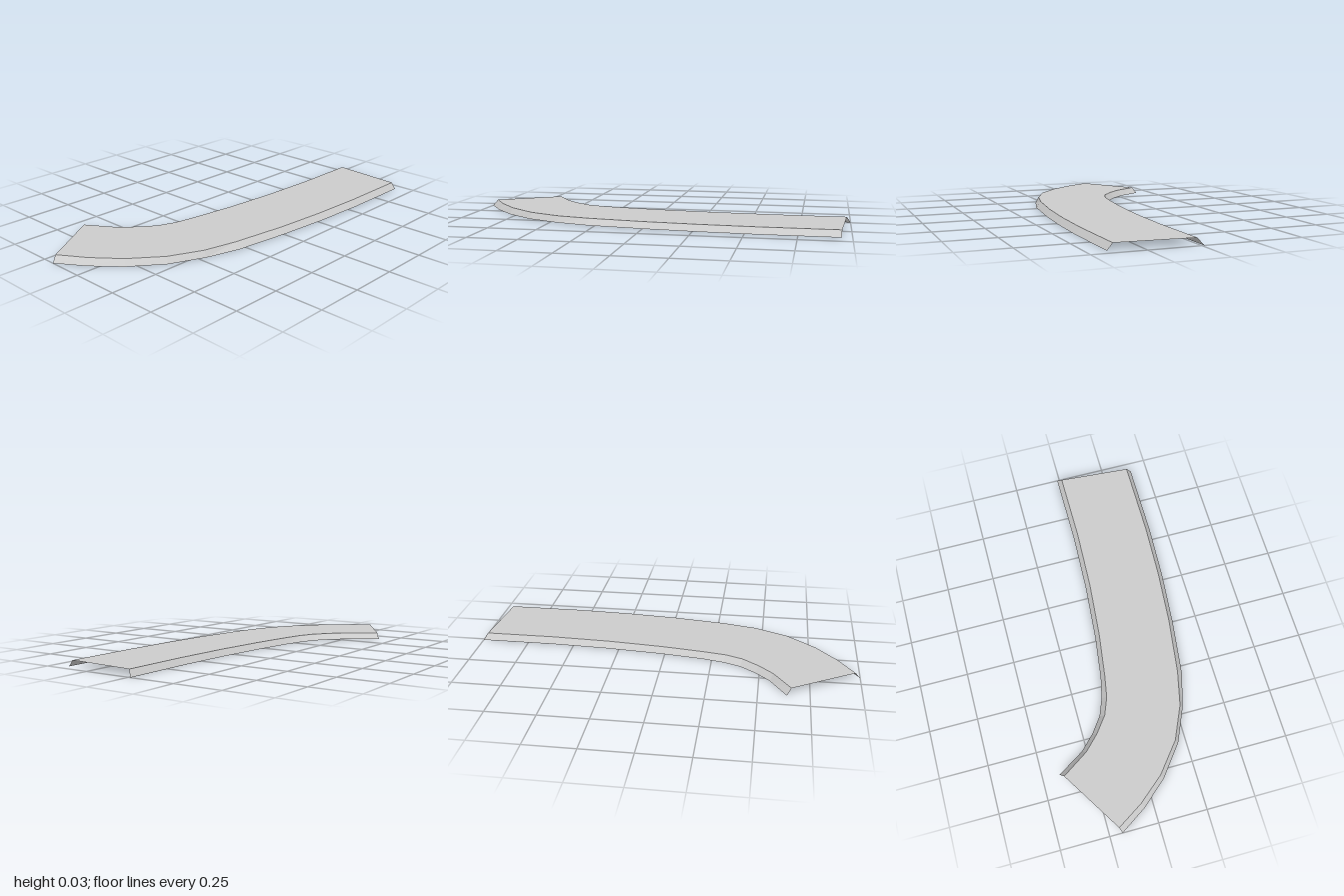
import * as THREE from 'three';

// Four rails [x, z] running from the hooked end to the straight end
const backFoot = [[-0.64, -0.413], [-0.555, -0.275], [-0.48, -0.2], [-0.4, -0.14], [-0.31, -0.105],
  [-0.2, -0.08], [0.02, -0.05], [0.31, -0.025], [0.62, -0.012], [1, -0.012]];
const backCrest = [[-0.66, -0.393], [-0.57, -0.255], [-0.495, -0.18], [-0.41, -0.115], [-0.32, -0.08],
  [-0.21, -0.06], [0.02, -0.028], [0.31, -0.002], [0.62, 0.011], [0.98, 0.011]];
const frontCrest = [[-0.975, -0.196], [-0.89, -0.06], [-0.78, 0.073], [-0.63, 0.195], [-0.46, 0.272],
  [-0.285, 0.312], [0, 0.351], [0.28, 0.374], [0.56, 0.385], [0.952, 0.385]];
const frontFoot = [[-1, -0.184], [-0.91, -0.045], [-0.795, 0.088], [-0.64, 0.21], [-0.465, 0.288],
  [-0.29, 0.337], [0, 0.374], [0.28, 0.398], [0.56, 0.41], [0.95, 0.41]];
const HEIGHT = 0.032;

// Sheet stretched between two rails at given heights
function strip(name, railA, yA, railB, yB, material) {
  const positions = [];
  const index = [];
  railA.forEach(([x, z], i) => {
    positions.push(x, yA, z, railB[i][0], yB, railB[i][1]);
    if (i > 0) {
      const a = 2 * (i - 1);
      index.push(a, a + 1, a + 2, a + 1, a + 3, a + 2);
    }
  });
  const geometry = new THREE.BufferGeometry();
  geometry.setAttribute('position', new THREE.Float32BufferAttribute(positions, 3));
  geometry.setIndex(index);
  geometry.computeVertexNormals();
  const mesh = new THREE.Mesh(geometry, material);
  mesh.name = name;
  return mesh;
}

export function createModel() {
  const grey = new THREE.MeshStandardMaterial({ color: 0xcccccc, side: THREE.DoubleSide, flatShading: true });
  grey.name = 'lightGrey';

  const group = new THREE.Group();
  group.name = 'curvedPath';
  // Flat deck with a sloping skirt on each long side, open below and at the ends
  group.add(
    strip('backSkirt', backFoot, 0, backCrest, HEIGHT, grey),
    strip('deck', backCrest, HEIGHT, frontCrest, HEIGHT, grey),
    strip('frontSkirt', frontCrest, HEIGHT, frontFoot, 0, grey),
  );
  return group;
}
